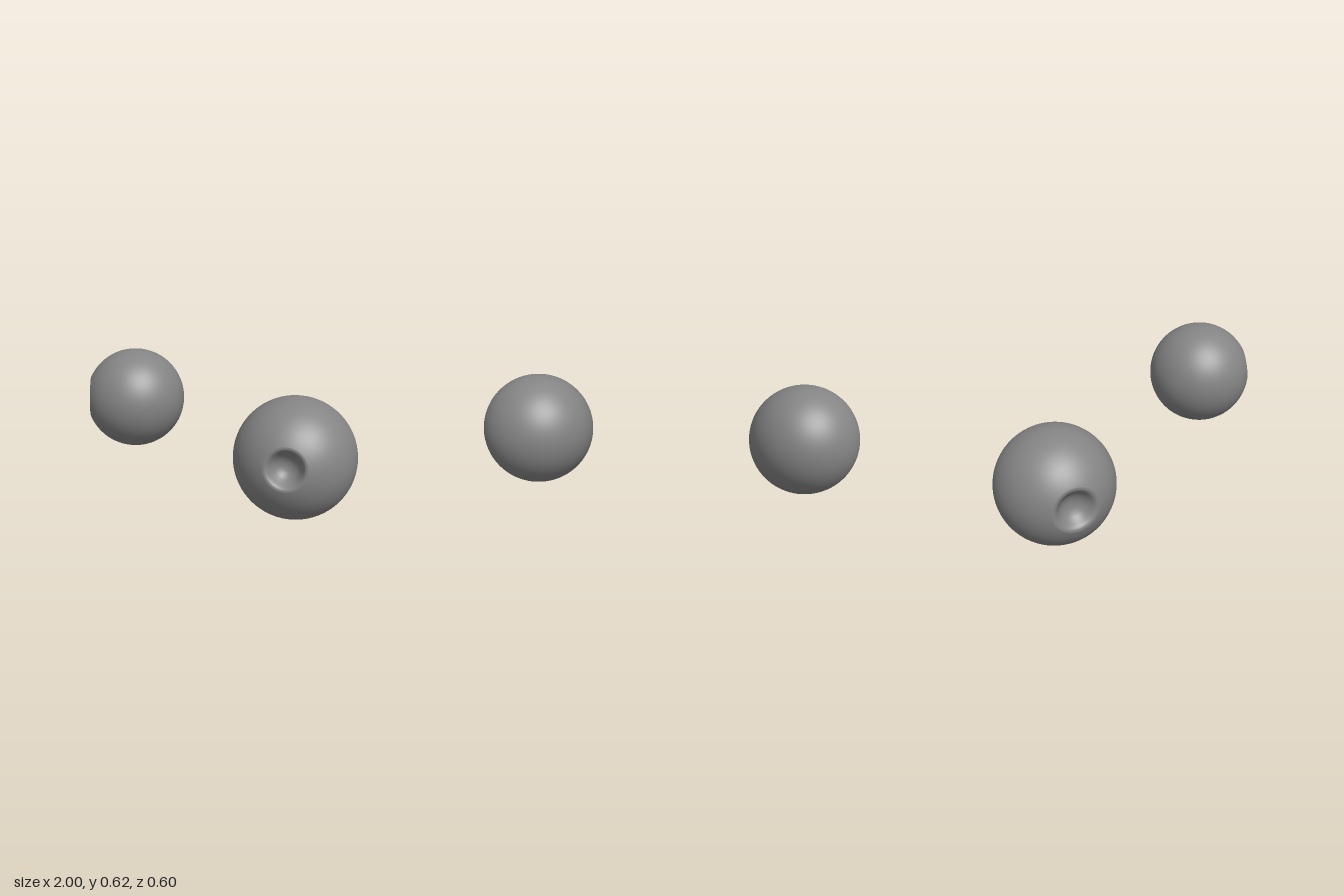
import * as THREE from 'three';

const R = 0.29;

// Ball profile, from the back pole round to the soft rim and down into the pupil pit
function eyeGeometry(pitRadius, pitDepth) {
  const points = [];
  const rimAngle = Math.asin(pitRadius / R), steps = 56;
  for (let i = 0; i <= steps; i++) {
    const a = Math.PI + (rimAngle - Math.PI) * (i / steps);
    points.push(new THREE.Vector2(i === 0 ? 0 : R * Math.sin(a), R * Math.cos(a)));
  }
  // Pit steps: share of the radius, share of the depth
  const rimHeight = R * Math.cos(rimAngle);
  const pit = new THREE.SplineCurve(
    [[1, 0], [0.88, 0.02], [0.77, 0.17], [0.64, 0.45], [0.47, 0.74], [0.24, 0.94], [0, 1]].map(
      ([r, d]) => new THREE.Vector2(r * pitRadius, rimHeight - d * pitDepth)
    )
  );
  points.push(...pit.getPoints(30).slice(1));
  points[points.length - 1].x = 0;
  return new THREE.LatheGeometry(points, 80);
}

export function createModel() {
  const group = new THREE.Group();
  const material = new THREE.MeshStandardMaterial({ color: 0x848484 });

  // The two eyes sit at slightly different heights and look outwards
  const eyes = [
    { name: 'leftEye', position: [0.707, 0.327, 0.012], gaze: [0.6, 0.13, 0.78], pit: [0.102, 0.07] },
    { name: 'rightEye', position: [-0.709, 0.291, -0.013], gaze: [-0.545, 0.035, 0.84], pit: [0.115, 0.06] },
  ];
  for (const { name, position, gaze, pit } of eyes) {
    const eye = new THREE.Mesh(eyeGeometry(...pit), material);
    eye.name = name;
    eye.position.set(...position);
    eye.quaternion.setFromUnitVectors(
      new THREE.Vector3(0, 1, 0),
      new THREE.Vector3(...gaze).normalize()
    );
    group.add(eye);
  }
  return group;
}
